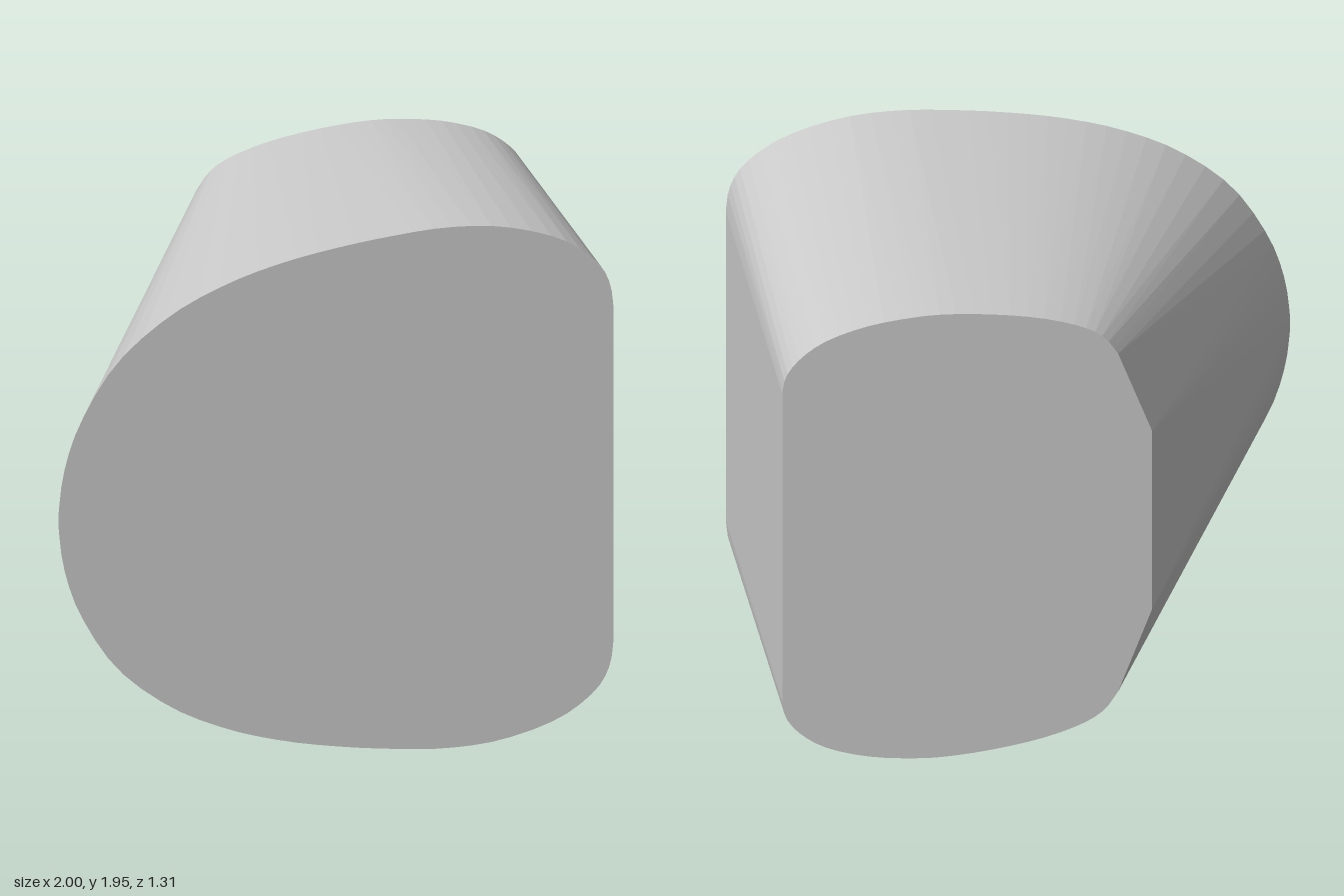
import * as THREE from 'three';
import { ConvexGeometry } from 'three/addons/geometries/ConvexGeometry.js';

const MID = 0.98;    // height of the horizontal symmetry line
const DEPTH = 0.655; // half depth

// Smooth upper half outline, optional sharp corners, mirrored about the middle
function outline(curvePoints, corners, z, samples) {
  const spline = new THREE.SplineCurve(curvePoints.map(([x, y]) => new THREE.Vector2(x, y)));
  const upper = spline.getPoints(samples).concat(corners.map(([x, y]) => new THREE.Vector2(x, y)));
  return upper.flatMap(({ x, y }) => {
    const cx = Math.min(1, Math.max(-1, x));
    return [new THREE.Vector3(cx, y, z), new THREE.Vector3(cx, 2 * MID - y, z)];
  });
}

export function createModel() {
  const group = new THREE.Group();
  group.name = 'taperedBlock';

  // Large rounded front face
  const front = outline([
    [1, 1.6], [0.985, 1.7], [0.93, 1.79], [0.8, 1.88], [0.6, 1.94], [0.4, 1.955],
    [0.2, 1.94], [0, 1.913], [-0.2, 1.873], [-0.4, 1.81], [-0.6, 1.71],
    [-0.79, 1.55], [-0.92, 1.34], [-0.98, 1.16], [-1, 1],
  ], [], DEPTH, 40);

  // Smaller back face with a straight, bevelled side
  const back = outline([
    [1, 1.6], [0.985, 1.67], [0.93, 1.74], [0.84, 1.8], [0.7, 1.845], [0.55, 1.866],
    [0.42, 1.87], [0.25, 1.855], [0.08, 1.825], [-0.06, 1.78], [-0.14, 1.73], [-0.19, 1.66],
  ], [[-0.31, 1.34]], -DEPTH, 30);

  // Straight-ruled skin between both faces
  const body = new THREE.Mesh(
    new ConvexGeometry([...front, ...back]),
    new THREE.MeshStandardMaterial({ color: 0xcccccc, flatShading: true }),
  );
  body.name = 'body';
  group.add(body);
  return group;
}
